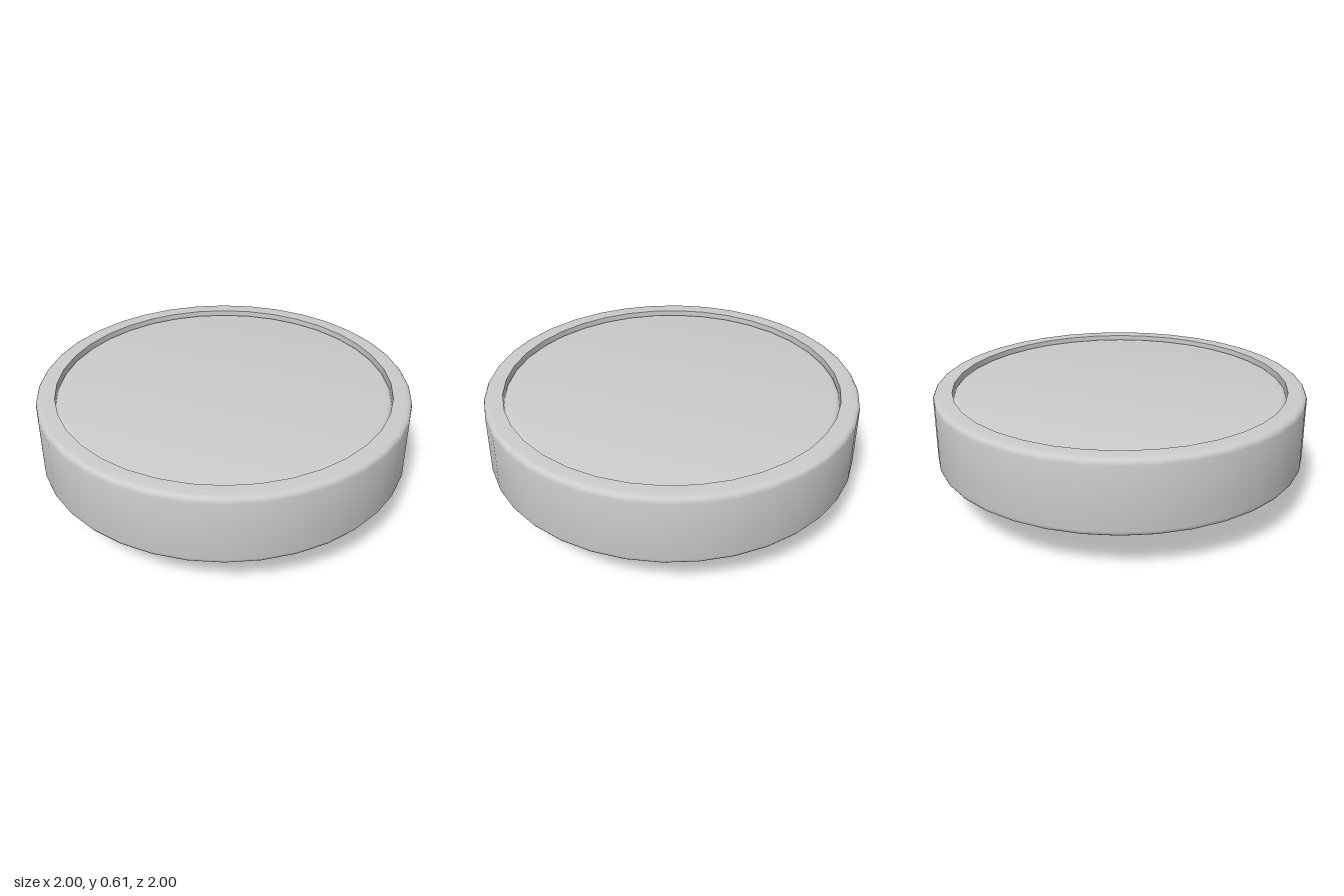
import * as THREE from 'three';
import { toCreasedNormals } from 'three/addons/utils/BufferGeometryUtils.js';

const SIDES = 36;

// Quarter-round profile points about (cx, cy), from angle a to a + 90 degrees
function fillet(cx, cy, r, a, steps = 4) {
  return Array.from({ length: steps + 1 }, (_, i) => {
    const t = a + (i / steps) * Math.PI / 2;
    return [cx + r * Math.cos(t), cy + r * Math.sin(t)];
  });
}

// Turned part: profile runs from the underside outward, up and back in
function turned(name, profile, material) {
  const points = profile.map(([r, y]) => new THREE.Vector2(r, y));
  const geometry = toCreasedNormals(new THREE.LatheGeometry(points, SIDES), Math.PI / 6);
  const mesh = new THREE.Mesh(geometry, material);
  mesh.name = name;
  return mesh;
}

export function createModel() {
  const group = new THREE.Group();
  group.name = 'roundKnob';
  const material = new THREE.MeshStandardMaterial({ color: 0xcccccc });

  const top = 0.61, base = 0.22, round = 0.03;
  const hubR = 0.355, holeR = 0.117, holeTop = 0.35;
  const rimR = 0.9, recess = 0.53, capTop = 0.59, capRound = 0.03;

  // Wide body with rounded outer edges and a shallow recess in the top
  group.add(turned('body', [
    [hubR, base],
    ...fillet(1 - round, base + round, round, -Math.PI / 2),
    ...fillet(1 - round, top - round, round, 0),
    [rimR, top], [rimR, recess], [0, recess],
  ], material));

  // Inset cap with a rounded edge, just below the rim
  group.add(turned('insetCap', [
    [rimR, recess],
    ...fillet(rimR - capRound, capTop - capRound, capRound, 0),
    [0, capTop],
  ], material));

  // Chamfered hub with a blind bore
  group.add(turned('hub', [
    [0, holeTop], [holeR, holeTop], [holeR, 0],
    [hubR - 0.02, 0], [hubR, 0.02], [hubR, base],
  ], material));

  return group;
}
